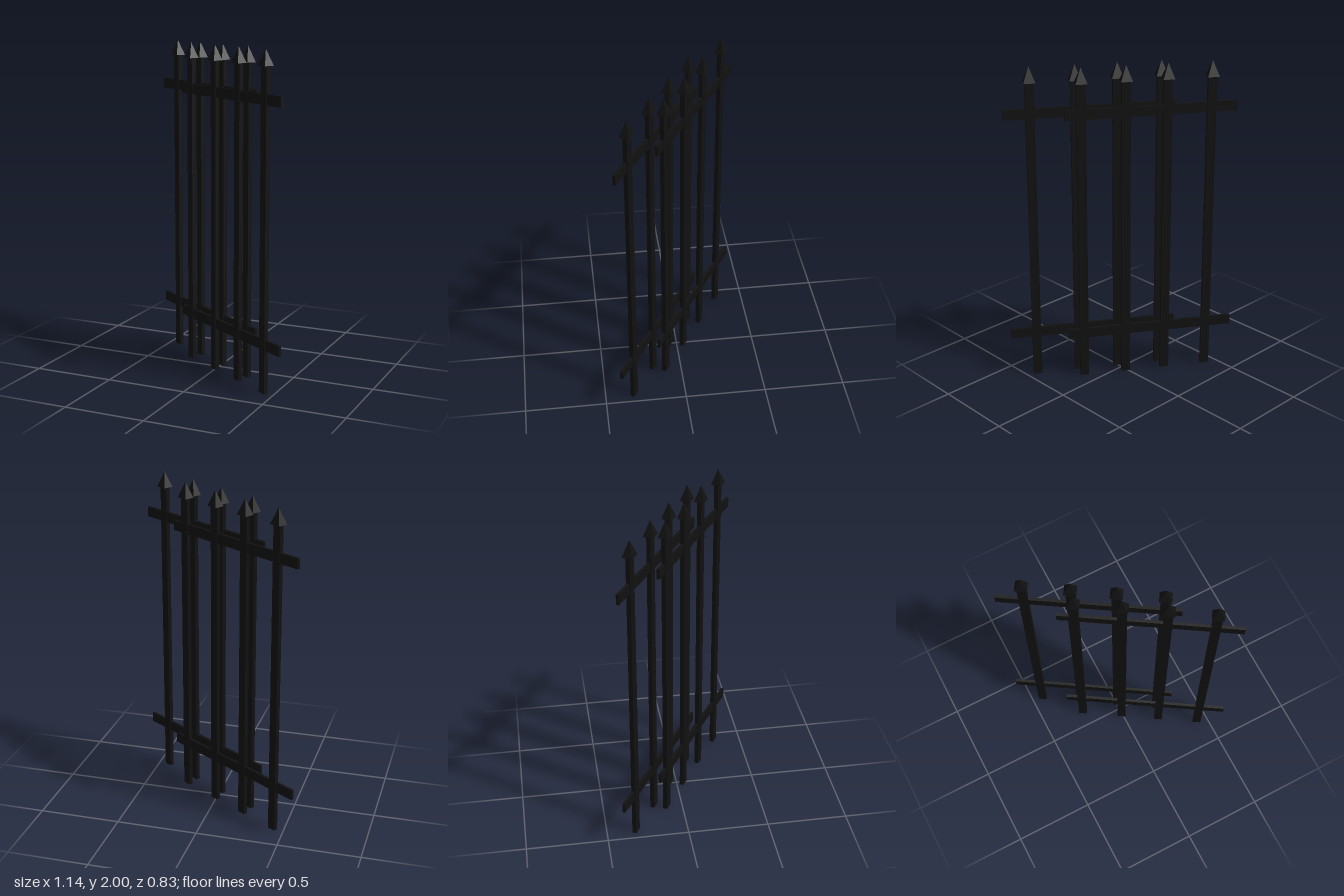
import * as THREE from 'three';

const ANGLE = -0.564;                       // heading of both fence panels
const PICKETS = [-0.36, -0.094, 0.156, 0.421]; // picket offsets along a panel
const RAIL_HEIGHTS = [0.295, 1.718];

export function createModel() {
  const model = new THREE.Group();
  model.name = 'fence';
  const iron = new THREE.MeshStandardMaterial({ color: 0x111111, flatShading: true });

  const railGeo = new THREE.BoxGeometry(1.04, 0.062, 0.018);
  const postGeo = new THREE.BoxGeometry(0.053, 1.91, 0.026);
  // Four-sided pyramid with a rectangular base
  const tipGeo = new THREE.ConeGeometry(Math.SQRT1_2, 0.095, 4, 1, false, Math.PI / 4);
  tipGeo.scale(0.071, 1, 0.061);

  const add = (parent, name, geo, x, y) => {
    const mesh = new THREE.Mesh(geo, iron);
    mesh.name = name;
    mesh.position.set(x, y, 0);
    parent.add(mesh);
  };

  // Two parallel panels, the second one turned half way round the centre
  for (const [name, side] of [['backPanel', -1], ['frontPanel', 1]]) {
    const panel = new THREE.Group();
    panel.name = name;
    panel.position.set(0.126 * side, 0, 0.127 * side);
    panel.rotation.y = ANGLE + (side > 0 ? Math.PI : 0);
    for (const y of RAIL_HEIGHTS) add(panel, 'rail', railGeo, 0, y);
    for (const x of PICKETS) {
      add(panel, 'picket', postGeo, x, 0.955);
      add(panel, 'picketTip', tipGeo, x, 1.9525);
    }
    model.add(panel);
  }
  return model;
}
